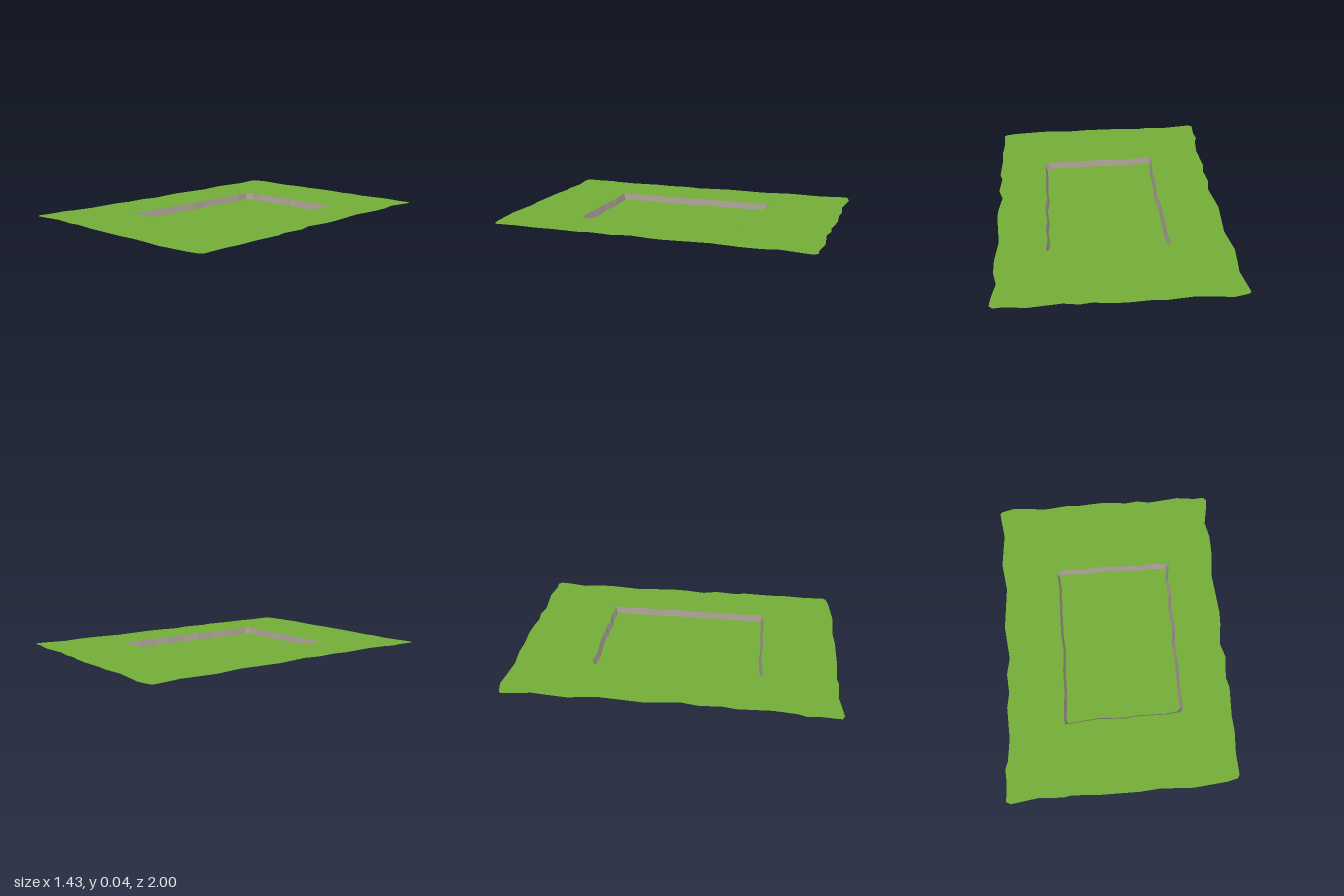
import * as THREE from 'three';

const RIM_Y = 0.04;

// Ragged outlines as [x, z] points, clockwise seen from above, one list per side
const outerBack = [[-0.705, -0.965], [-0.69, -0.98], [-0.61, -1], [-0.39, -0.98], [-0.25, -0.995], [-0.165, -0.99], [-0.02, -1],
  [0.08, -0.995], [0.16, -0.985], [0.23, -0.995], [0.32, -0.98], [0.51, -1], [0.63, -0.985], [0.69, -0.99]];
const outerLeft = [[0.71, -0.97], [0.705, -0.915], [0.68, -0.79], [0.70, -0.69], [0.70, -0.58], [0.68, -0.4], [0.70, -0.13],
  [0.695, -0.05], [0.675, 0.08], [0.70, 0.17], [0.685, 0.31], [0.70, 0.375], [0.69, 0.555], [0.695, 0.66], [0.685, 0.79], [0.69, 0.925]];
const outerFront = [[0.675, 0.945], [0.61, 0.96], [0.405, 0.98], [0.205, 0.97], [0.08, 0.98], [-0.18, 0.98], [-0.32, 0.97],
  [-0.38, 0.98], [-0.515, 0.97], [-0.69, 0.995]];
const outerRight = [[-0.717, 0.98], [-0.71, 0.87], [-0.717, 0.785], [-0.70, 0.74], [-0.685, 0.6], [-0.695, 0.4], [-0.68, 0.31],
  [-0.69, 0.185], [-0.67, 0.08], [-0.695, -0.13], [-0.675, -0.4], [-0.70, -0.58], [-0.69, -0.69], [-0.68, -0.79]];

const rimBack = [[-0.34, -0.495], [-0.29, -0.515], [-0.2, -0.505], [-0.09, -0.513], [0.01, -0.517], [0.07, -0.508], [0.125, -0.513],
  [0.205, -0.503], [0.295, -0.514], [0.375, -0.503], [0.403, -0.51]];
const rimLeft = [[0.402, -0.485], [0.39, -0.4], [0.40, -0.29], [0.39, -0.2], [0.40, -0.05], [0.387, 0.06], [0.395, 0.185],
  [0.39, 0.34], [0.395, 0.49]];
const rimFront = [[0.375, 0.51], [0.295, 0.52], [0.12, 0.517], [0.03, 0.525], [-0.14, 0.517], [-0.34, 0.535]];
const rimRight = [[-0.347, 0.51], [-0.34, 0.4], [-0.335, 0.32], [-0.335, 0.185], [-0.325, 0.05], [-0.335, -0.05],
  [-0.335, -0.21], [-0.33, -0.4]];

const outer = [...outerBack, ...outerLeft, ...outerFront, ...outerRight];
const rim = [...rimBack, ...rimLeft, ...rimFront, ...rimRight];
// The pit narrows slightly towards its floor
const floor = rim.map(([x, z]) => [0.028 + (x - 0.028) * 0.96, 0.01 + (z - 0.01) * 0.97]);

// Flat horizontal sheet with an optional hole
function sheet(outline, y, hole) {
  const toPoints = (list) => list.map(([x, z]) => new THREE.Vector2(x, -z));
  const shape = new THREE.Shape(toPoints(outline));
  if (hole) shape.holes.push(new THREE.Path(toPoints(hole)));
  return new THREE.ShapeGeometry(shape).rotateX(-Math.PI / 2).translate(0, y, 0);
}

// Faceted band joining the floor outline to the rim outline, facing into the pit
function band(low, lowY, high, highY) {
  const positions = [];
  low.forEach((a, i) => {
    const j = (i + 1) % low.length;
    const a0 = [a[0], lowY, a[1]];
    const b0 = [low[j][0], lowY, low[j][1]];
    const a1 = [high[i][0], highY, high[i][1]];
    const b1 = [high[j][0], highY, high[j][1]];
    positions.push(...a0, ...b0, ...b1, ...a0, ...b1, ...a1);
  });
  const geometry = new THREE.BufferGeometry();
  geometry.setAttribute('position', new THREE.Float32BufferAttribute(positions, 3));
  geometry.computeVertexNormals();
  return geometry;
}

export function createModel() {
  const grass = new THREE.MeshStandardMaterial({ color: 0x72ad37, side: THREE.DoubleSide });
  grass.name = 'grass green';
  const stone = new THREE.MeshStandardMaterial({ color: 0xa0968c, side: THREE.DoubleSide });
  stone.name = 'stone grey';

  const model = new THREE.Group();
  model.name = 'sunkenGround';
  const add = (name, geometry, material) => {
    const mesh = new THREE.Mesh(geometry, material);
    mesh.name = name;
    model.add(mesh);
  };

  add('upperGround', sheet(outer, RIM_Y, rim), grass);
  add('pitFloor', sheet(floor, 0), grass);
  add('pitWall', band(floor, 0, rim, RIM_Y), stone);
  return model;
}
